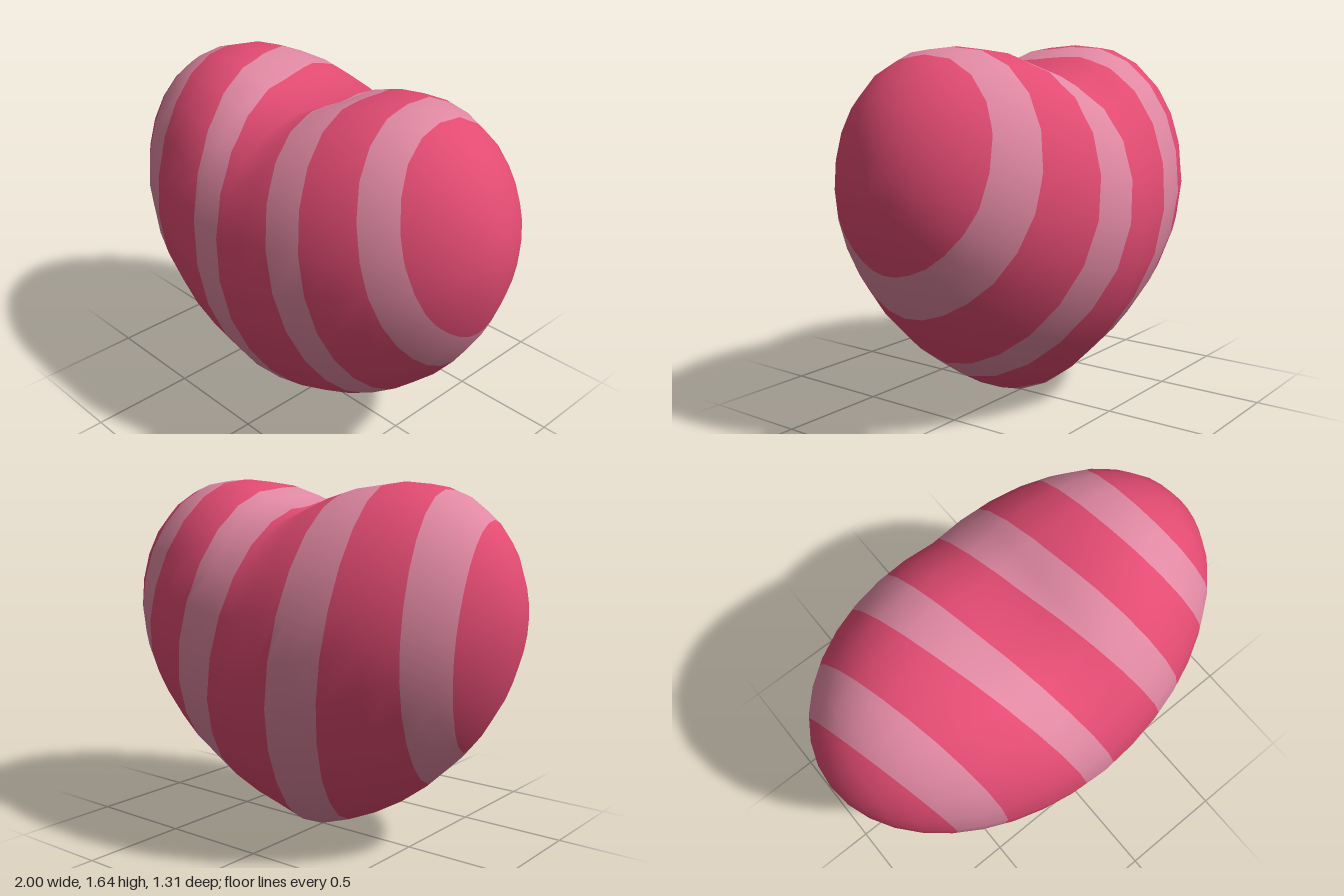
import * as THREE from 'three';
import { mergeVertices } from 'three/addons/utils/BufferGeometryUtils.js';

const RINGS = 20, SIDES = 24;

// Slanted planes x + b*y - c*z = d that bound the stripes, from the right lobe to the left: [d, b, c]
const CUTS = [
  [-0.725, 0.09, 0.255], [-0.588, 0.04, 0.235],
  [-0.149, 0.15, 0.265], [0.064, 0.168, 0.2],
  [0.443, 0.24, 0.2], [0.612, 0.22, 0.15],
  [0.962, 0.29, 0.12], [1.146, 0.304, 0.08],
];

// Point on the puffy heart: x runs between the lobes, angle goes round the cross-section
function heartPoint(x, angle) {
  const a = Math.min(1, Math.abs(x));
  const v = Math.sin(angle), w = Math.cos(angle);
  const middle = 0.74 + 0.45 * a - 0.11 * a * a;
  const halfHeight = 0.74 * Math.sqrt(1 - a ** 2.7) + 0.15 * a * (1 - a) ** 2;
  const taper = v < 0 ? 1 - 0.15 * v * v : 1;
  const bulge = 0.14 * Math.abs(w) * (1 - a) ** 2;
  return [x, middle + halfHeight * v + bulge, 0.655 * Math.sqrt(1 - a * a) * w * taper];
}

// Closed smooth heart surface
function heartGeometry() {
  const positions = [], index = [];
  for (let i = 0; i <= RINGS; i++) {
    for (let j = 0; j < SIDES; j++) {
      positions.push(...heartPoint(-Math.cos(Math.PI * i / RINGS), 2 * Math.PI * j / SIDES));
    }
  }
  for (let i = 0; i < RINGS; i++) {
    for (let j = 0; j < SIDES; j++) {
      const k = (j + 1) % SIDES;
      const a = i * SIDES + j, b = a + SIDES, c = (i + 1) * SIDES + k, d = i * SIDES + k;
      index.push(a, b, c, a, c, d);
    }
  }
  let geometry = new THREE.BufferGeometry();
  geometry.setAttribute('position', new THREE.Float32BufferAttribute(positions, 3));
  geometry.setIndex(index);
  geometry = mergeVertices(geometry, 1e-4);
  geometry.computeVertexNormals();
  return geometry;
}

// Keep the part of a polygon where sign * side(point) >= 0
function clip(polygon, side, sign) {
  const kept = [];
  polygon.forEach((p, i) => {
    const q = polygon[(i + 1) % polygon.length];
    const s = sign * side(p.point), t = sign * side(q.point);
    if (s >= 0) kept.push(p);
    if ((s >= 0) !== (t >= 0)) {
      const f = s / (s - t);
      kept.push({
        point: p.point.clone().lerp(q.point, f),
        normal: p.normal.clone().lerp(q.normal, f).normalize(),
      });
    }
  });
  return kept;
}

export function createModel() {
  const group = new THREE.Group();
  group.name = 'stripedHeart';
  const rose = new THREE.MeshStandardMaterial({ color: 0xe24b72 });
  rose.name = 'rose';
  const palePink = new THREE.MeshStandardMaterial({ color: 0xe088a3 });
  palePink.name = 'palePink';

  const heart = heartGeometry();
  const { position, normal } = heart.attributes;
  const index = heart.index.array;
  const sections = Array.from({ length: CUTS.length + 1 }, () => ({ points: [], normals: [] }));

  const addPolygon = (section, polygon) => {
    for (let i = 1; i + 1 < polygon.length; i++) {
      for (const corner of [polygon[0], polygon[i], polygon[i + 1]]) {
        section.points.push(...corner.point.toArray());
        section.normals.push(...corner.normal.toArray());
      }
    }
  };

  // Slice every face along the stripe planes
  for (let t = 0; t < index.length; t += 3) {
    const ids = [index[t], index[t + 1], index[t + 2]];
    if (new Set(ids).size < 3) continue;
    let rest = ids.map((id) => ({
      point: new THREE.Vector3().fromBufferAttribute(position, id),
      normal: new THREE.Vector3().fromBufferAttribute(normal, id),
    }));
    CUTS.forEach(([d, b, c], k) => {
      const side = (p) => p.x + b * p.y - c * p.z - d;
      addPolygon(sections[k], clip(rest, side, -1));
      rest = clip(rest, side, 1);
    });
    addPolygon(sections[CUTS.length], rest);
  }

  // Body sections and stripes alternate
  sections.forEach(({ points, normals }, k) => {
    const geometry = new THREE.BufferGeometry();
    geometry.setAttribute('position', new THREE.Float32BufferAttribute(points, 3));
    geometry.setAttribute('normal', new THREE.Float32BufferAttribute(normals, 3));
    const isStripe = k % 2 === 1;
    const mesh = new THREE.Mesh(geometry, isStripe ? palePink : rose);
    mesh.name = (isStripe ? 'stripe' : 'heartBody') + (Math.floor(k / 2) + 1);
    group.add(mesh);
  });
  return group;
}
